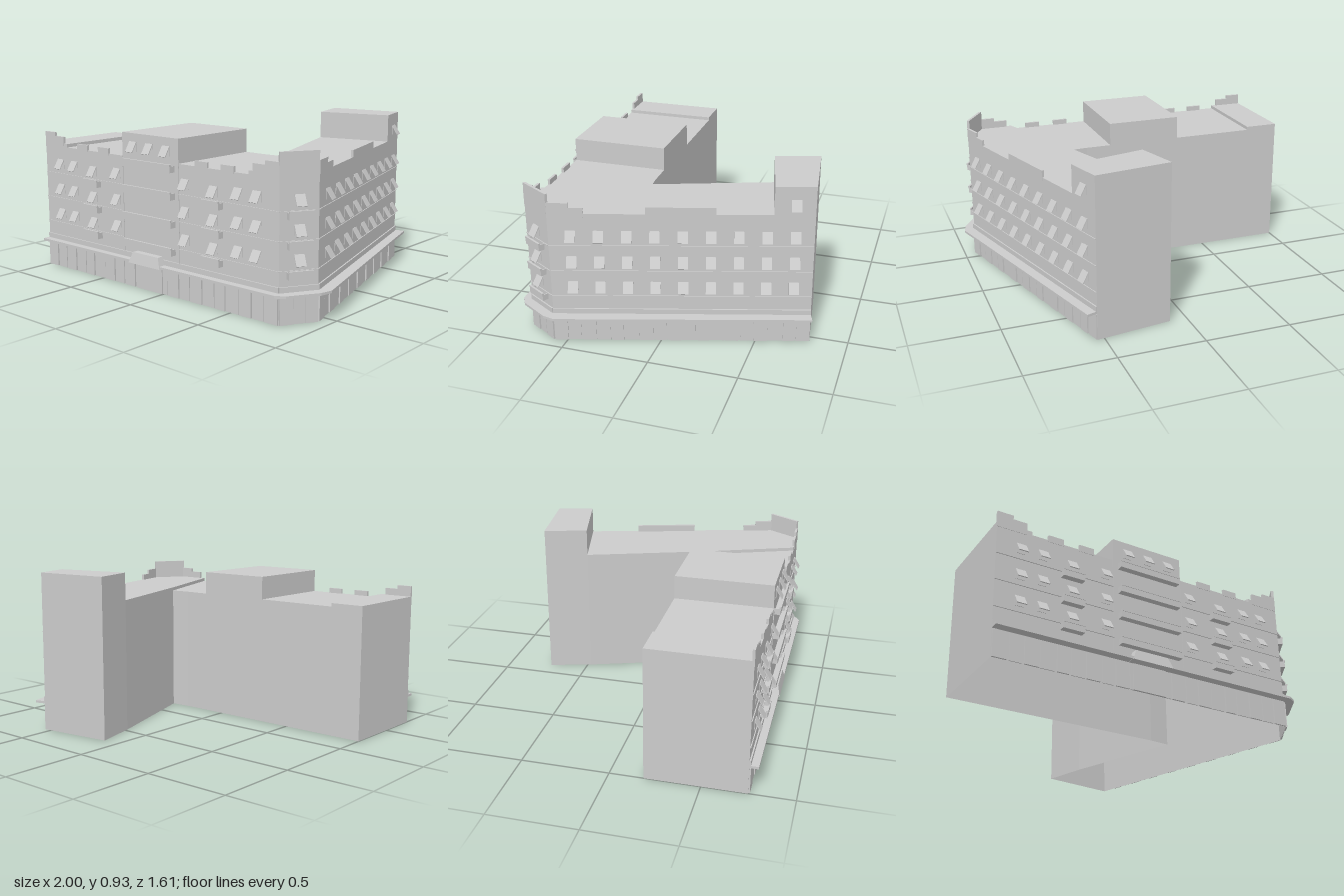
import * as THREE from 'three';

const mat = new THREE.MeshStandardMaterial({ color: 0xcccccc, flatShading: true, side: THREE.DoubleSide });

function add(parent, name, geometry) {
  const mesh = new THREE.Mesh(geometry, mat);
  mesh.name = name;
  parent.add(mesh);
  return mesh;
}

// Box from its centre in x, its base in y and its back in z
function box(parent, name, x, y, z, w, h, d) {
  const mesh = add(parent, name, new THREE.BoxGeometry(w, h, d));
  mesh.position.set(x, y + h / 2, z + d / 2);
  return mesh;
}

// Flat plate with a plan outline given as [x, z]
function plate(parent, name, pts, y, h) {
  const shape = new THREE.Shape(pts.map(([x, z]) => new THREE.Vector2(x, -z)));
  const geo = h
    ? new THREE.ExtrudeGeometry(shape, { depth: h, bevelEnabled: false })
    : new THREE.ShapeGeometry(shape);
  add(parent, name, geo.rotateX(-Math.PI / 2).translate(0, y, 0));
}

// Hollow block: walls from each edge's base height up to a flat roof
function block(parent, name, pts, top, bases) {
  const group = new THREE.Group();
  group.name = name;
  parent.add(group);
  const pos = [];
  pts.forEach(([ax, az], i) => {
    const [bx, bz] = pts[(i + 1) % pts.length];
    const y = bases[i];
    pos.push(ax, y, az, bx, y, bz, bx, top, bz, ax, y, az, bx, top, bz, ax, top, az);
  });
  const geo = new THREE.BufferGeometry();
  geo.setAttribute('position', new THREE.Float32BufferAttribute(pos, 3));
  geo.computeVertexNormals();
  add(group, name + 'Walls', geo);
  plate(group, name + 'Roof', pts, top, 0);
}

// Group lying on a facade: x along the wall, z outward
function facade(parent, name, [ax, az], [bx, bz]) {
  const group = new THREE.Group();
  group.name = name;
  group.position.set(ax, 0, az);
  group.rotation.y = Math.atan2(az - bz, bx - ax);
  group.userData.length = Math.hypot(bx - ax, bz - az);
  parent.add(group);
  return group;
}

// Window pane with a top-hung sash tilted outward
function windowUnit(parent, x, y) {
  box(parent, 'windowPane', x, y - 0.028, 0, 0.05, 0.056, 0.003);
  const sash = add(parent, 'openSash', new THREE.BoxGeometry(0.055, 0.065, 0.005));
  sash.position.set(x, y, 0.019);
  sash.rotation.x = -0.55;
}

// Tray balcony with a cap rail
function balcony(parent, x, y, w, h = 0.045) {
  const d = 0.036;
  box(parent, 'balconySlab', x, y, 0, w, 0.008, d);
  box(parent, 'balconyFront', x, y, d - 0.005, w, h - 0.01, 0.005);
  for (const s of [-1, 1]) box(parent, 'balconySide', x + s * (w / 2 - 0.0025), y, 0, 0.005, h - 0.01, d);
  box(parent, 'balconyRail', x, y + h - 0.01, d - 0.009, w, 0.01, 0.012);
}

// Shopfront panels, frieze and thin floor bands common to every facade
function dressWall(wall, pitch) {
  const L = wall.userData.length;
  const n = Math.round(L / pitch);
  for (let i = 0; i < n; i++) {
    const w = (L / n) * (i % 3 === 1 ? 0.78 : 0.93);
    box(wall, 'shopfrontPanel', (i + 0.5) * L / n, 0.002, 0, w, 0.15, i % 2 ? 0.005 : 0.009);
  }
  box(wall, 'frieze', L / 2, 0.17, 0, L, 0.03, 0.008);
}

export function createModel() {
  const model = new THREE.Group();
  model.name = 'cornerBuilding';
  const A = [-1, 0.75], B = [0.82, 0.75], C = [0.93, 0.57], D = [0.54, -0.79];
  const inner = [0.4, 0.18], seam = [0.62, 0.75], towerOut = [0.6, -0.58], towerIn = [0.17, -0.48];
  const floors = [0.34, 0.493, 0.645];

  // Main volumes, open underneath
  block(model, 'frontWing', [A, [-1, 0.19], [0.28, 0.19], inner, seam], 0.75, [0, 0, 0, 0.75, 0]);
  block(model, 'sideWing', [seam, B, C, towerOut, towerIn, inner], 0.77, [0, 0, 0, 0.77, 0, 0.75]);
  block(model, 'rearTower', [towerOut, D, [0.1, -0.73], towerIn], 0.93, [0, 0, 0, 0.77]);
  block(model, 'penthouse', [[-0.31, 0.75], [-0.31, 0.19], [0.13, 0.19], [0.13, 0.75]], 0.885, [0.75, 0.75, 0.75, 0.75]);
  block(model, 'endRoofStep', [A, [-1, 0.19], [-0.8, 0.19], [-0.8, 0.75]], 0.77, [0.75, 0.75, 0.75, 0.75]);

  // Street canopy running round the corner
  plate(model, 'streetCanopy', [[-1, 0.8], [0.83, 0.8], [0.88, 0.77], [0.98, 0.61], [0.995, 0.54],
    [0.6, -0.81], D, C, B, A], 0.157, 0.014);

  // Front facade, laid out symmetrically about its middle
  const front = facade(model, 'frontFacade', A, B);
  dressWall(front, 0.085);
  const mid = 0.91;
  for (const s of [-1, 1]) {
    for (const y of floors) {
      for (const dx of [0.27, 0.645, 0.77]) windowUnit(front, mid + s * dx, y);
      windowUnit(front, mid + s * 0.475, y - 0.012);
      balcony(front, mid + s * 0.475, y - 0.1, 0.125);
      box(front, 'floorBand', mid + s * 0.565, y - 0.062, 0, 0.69, 0.004, 0.005);
    }
    // stepped parapet: [offset, width, top]
    for (const [dx, w, top] of [[0.385, 0.09, 0.78], [0.57, 0.09, 0.78], [0.78, 0.08, 0.81], [0.865, 0.09, 0.832]])
      box(front, 'parapetStep', mid + s * dx, 0.74, -0.012, w, top - 0.74, 0.014);
    box(front, 'bayEdge', mid + s * 0.22, 0.2, 0, 0.006, 0.55, 0.004);
  }
  for (const y of [0.24, 0.395, 0.55]) balcony(front, mid, y, 0.38);
  balcony(front, mid, 0.7, 0.38);
  for (const dx of [-0.13, 0, 0.13]) windowUnit(front, mid + dx, 0.81);

  // Entrance hood, narrower and set back at the top
  const hood = new THREE.BoxGeometry(0.25, 0.062, 0.052);
  const p = hood.attributes.position;
  for (let i = 0; i < p.count; i++) if (p.getY(i) > 0) {
    p.setX(i, p.getX(i) * 0.8);
    if (p.getZ(i) > 0) p.setZ(i, 0.012);
  }
  hood.computeVertexNormals();
  add(front, 'entranceHood', hood).position.set(0.9, 0.186, 0.028);
  box(front, 'entranceDoor', 0.9, 0.002, 0, 0.2, 0.15, 0.012);

  // Chamfered corner with balconies and a tall parapet
  const corner = facade(model, 'cornerFacade', B, C);
  dressWall(corner, 0.07);
  const cl = corner.userData.length;
  for (const y of floors) {
    windowUnit(corner, cl / 2, y - 0.005);
    balcony(corner, cl / 2, y - 0.1, 0.13);
    box(corner, 'floorBand', cl / 2, y - 0.062, 0, cl, 0.004, 0.005);
  }
  box(corner, 'cornerParapet', cl / 2, 0.75, -0.014, cl, 0.132, 0.015);

  // Side facade; u converts a depth position to a distance along the wall
  const side = facade(model, 'sideFacade', C, D);
  dressWall(side, 0.078);
  const sl = side.userData.length;
  const u = z => (0.57 - z) / 1.36 * sl;
  for (const y of floors) {
    for (let i = 0; i < 9; i++) windowUnit(side, u(0.455 - i * 0.1435), y);
    box(side, 'floorBand', sl / 2, y - 0.062, 0, sl, 0.004, 0.005);
  }
  windowUnit(side, u(-0.69), 0.83);
  for (const [z0, z1, top] of [[0.57, 0.46, 0.832], [0.46, 0.385, 0.805], [0.07, -0.29, 0.81]])
    box(side, 'parapetStep', u((z0 + z1) / 2), 0.75, -0.012, u(z1) - u(z0), top - 0.75, 0.014);

  return model;
}
